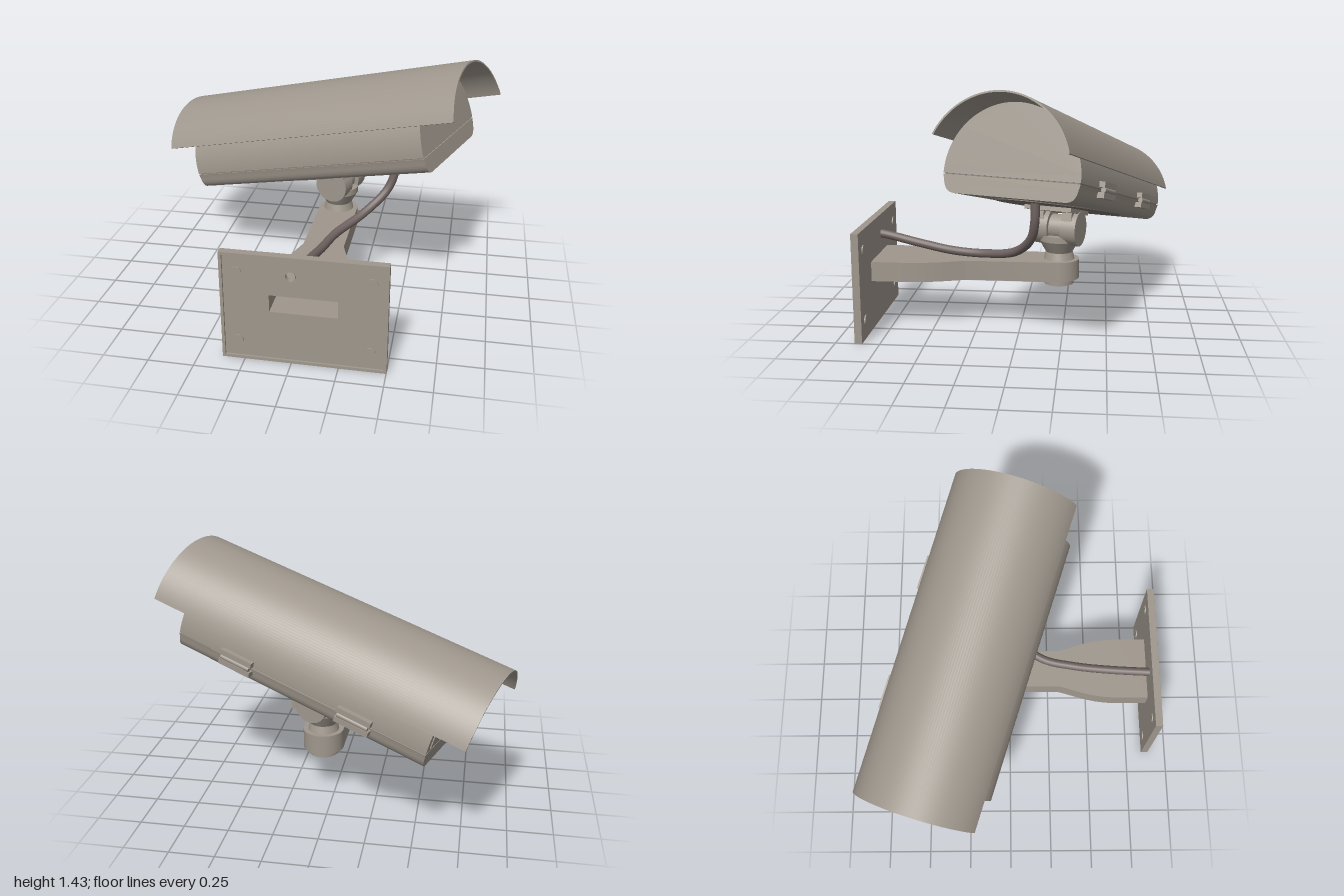
import * as THREE from 'three';
import { toCreasedNormals } from 'three/addons/utils/BufferGeometryUtils.js';

export function createModel() {
  const paint = new THREE.MeshStandardMaterial({ color: 0x9f978d });
  paint.name = 'warm grey paint';
  const dark = new THREE.MeshStandardMaterial({ color: 0x7d756f });
  dark.name = 'dark grey panel';
  const rubber = new THREE.MeshStandardMaterial({ color: 0x6f6360 });
  rubber.name = 'cable rubber';

  const model = new THREE.Group();
  model.name = 'securityCamera';

  function add(parent, name, geometry, material, x = 0, y = 0, z = 0) {
    const mesh = new THREE.Mesh(geometry, material);
    mesh.name = name;
    mesh.position.set(x, y, z);
    parent.add(mesh);
    return mesh;
  }
  const extrude = (shape, depth) => toCreasedNormals(
    new THREE.ExtrudeGeometry(shape, { depth, bevelEnabled: false, curveSegments: 32 }), 0.5);
  // extrusion running along x, from x0 to x1
  const alongX = (shape, x0, x1) => extrude(shape, x1 - x0).rotateY(Math.PI / 2).translate(x0, 0, 0);
  // plan shape (x, z) extruded upwards from y0 to y1
  const plan = (shape, y0, y1) => extrude(shape, y1 - y0).rotateX(Math.PI / 2).translate(0, y1, 0);
  function rectPath(path, x0, y0, x1, y1) {
    path.moveTo(x0, y0);
    path.lineTo(x1, y0);
    path.lineTo(x1, y1);
    path.lineTo(x0, y1);
    path.closePath();
    return path;
  }
  const circlePath = (x, y, r) => new THREE.Path().absarc(x, y, r, 0, Math.PI * 2);

  // ---- Housing, turned and pitched as one group ----
  const housing = new THREE.Group();
  housing.name = 'housing';
  housing.rotation.set(0, -0.32, 0.262, 'YXZ');
  housing.position.set(0.072, 0, -0.218);
  model.add(housing);

  const X0 = -0.61, X1 = 0.92, R = 0.374, MID = 0.787;

  // lower tray with rounded bottom edges
  const trayShape = (inset) => {
    const w = R - inset, b = 0.68 + inset;
    const s = new THREE.Shape();
    s.moveTo(-w, 0.775);
    s.lineTo(-w + 0.008, 0.745);
    s.quadraticCurveTo(-w + 0.018, b, -w + 0.075, b);
    s.lineTo(w - 0.075, b);
    s.quadraticCurveTo(w - 0.018, b, w - 0.008, 0.745);
    s.lineTo(w, 0.775);
    s.closePath();
    return s;
  };
  add(housing, 'tray', alongX(trayShape(0), X0, X1), paint);

  // domed lid
  const dome = (r) => {
    const s = new THREE.Shape();
    s.moveTo(-r, 0.781);
    s.lineTo(r, 0.781);
    s.absarc(0, MID, r, 0, Math.PI);
    s.closePath();
    return s;
  };
  add(housing, 'lid', alongX(dome(R), X0, X1), paint);

  // recessed seal in the seam between tray and lid
  add(housing, 'seal', new THREE.BoxGeometry(X1 - X0 - 0.016, 0.02, 2 * R - 0.016), dark, (X0 + X1) / 2, 0.778, 0);

  // inset cover on the low end
  const cover = new THREE.Shape();
  cover.moveTo(-0.335, 0.8);
  cover.lineTo(0.335, 0.8);
  cover.absarc(0, 0.8, 0.335, 0, Math.PI);
  add(housing, 'endCover', alongX(cover, X0 - 0.006, X0), paint);

  // sun shield: thin arc, reaching lower on the hinge side
  const arc = new THREE.Shape();
  const a0 = 16 * Math.PI / 180, a1 = 155.6 * Math.PI / 180;
  arc.absarc(0, 0.793, 0.39, a0, a1);
  arc.absarc(0, 0.793, 0.381, a1, a0, true);
  arc.closePath();
  add(housing, 'sunShield', alongX(arc, -0.79, 1.118), paint);

  // oval panel underneath
  const oval = new THREE.Shape().absellipse(0, 0, 0.63, 0.31, 0, Math.PI * 2);
  add(housing, 'undersidePanel', plan(oval, 0.676, 0.681), dark, 0.155, 0, 0);

  // hinge clasps along the seam
  for (const x of [-0.2, 0.53]) {
    const clasp = new THREE.Group();
    clasp.name = 'clasp';
    clasp.position.set(x, 0.775, -R);
    housing.add(clasp);
    add(clasp, 'claspPlate', new THREE.BoxGeometry(0.2, 0.03, 0.05), paint, 0, 0.028, -0.005);
    add(clasp, 'claspBase', new THREE.BoxGeometry(0.2, 0.03, 0.05), paint, 0, -0.028, -0.005);
    add(clasp, 'claspPin', new THREE.CylinderGeometry(0.014, 0.014, 0.18, 16).rotateZ(Math.PI / 2), paint, 0, 0, -0.02);
  }

  // mounting plate and its lugs
  add(housing, 'mountingPlate', new THREE.BoxGeometry(0.3, 0.026, 0.28), paint, 0.185, 0.664, 0.012);
  for (const z of [-0.075, 0.095])
    add(housing, 'tiltLug', new THREE.BoxGeometry(0.13, 0.09, 0.06), paint, 0.185, 0.62, z);

  // ---- Pan and tilt joint ----
  const JX = 0.065, JZ = -0.22;
  const joint = new THREE.Group();
  joint.name = 'joint';
  joint.position.set(JX, 0, JZ);
  model.add(joint);
  const barrel = new THREE.Group();
  barrel.name = 'tiltBarrel';
  barrel.position.set(0.012, 0.588, 0);
  barrel.rotation.y = -0.32;
  joint.add(barrel);
  for (const [z, len, r] of [[-0.085, 0.09, 0.1], [0, 0.08, 0.075], [0.085, 0.09, 0.1]])
    add(barrel, 'barrelSection', new THREE.CylinderGeometry(r, r, len, 40).rotateX(Math.PI / 2), paint, 0, 0, z);
  const neck = [[0, 0.4], [0.09, 0.4], [0.078, 0.445], [0.118, 0.515], [0.118, 0.55], [0, 0.55]]
    .map(([r, y]) => new THREE.Vector2(r, y));
  add(joint, 'neck', toCreasedNormals(new THREE.LatheGeometry(neck, 40), 0.5), paint);
  add(joint, 'panCap', new THREE.CylinderGeometry(0.086, 0.086, 0.045, 40), paint, 0, 0.276, 0);

  // ---- Hollow arm: side walls between a floor and a roof ----
  const armOutline = (path, inset, back) => {
    const n = 0.116 - inset, w = 0.192 - inset;
    path.moveTo(JX - w, back);
    path.lineTo(JX - w, 0.68);
    path.bezierCurveTo(JX - w, 0.5, JX - n - 0.025, 0.4, JX - n, 0.3);
    path.lineTo(JX - n, JZ);
    path.absarc(JX, JZ, n, Math.PI, Math.PI * 2);
    path.lineTo(JX + n, 0.3);
    path.bezierCurveTo(JX + n + 0.025, 0.4, JX + w, 0.5, JX + w, 0.68);
    path.lineTo(JX + w, back);
    return path;
  };
  const armSolid = armOutline(new THREE.Shape(), 0, 0.855);
  const inner = armOutline(new THREE.Path(), 0.012, 0.855).getPoints(24).reverse();
  const armWalls = armOutline(new THREE.Shape(), 0, 0.855);
  inner.forEach((p) => armWalls.lineTo(p.x, p.y));
  armWalls.closePath();
  add(model, 'armFloor', plan(armSolid, 0.288, 0.296), paint);
  add(model, 'armWalls', plan(armWalls, 0.296, 0.394), paint);
  add(model, 'armRoof', plan(armSolid, 0.394, 0.402), paint);
  add(model, 'panShaft', new THREE.CylinderGeometry(0.08, 0.08, 0.1, 40), paint, JX, 0.345, JZ);

  // ---- Wall plate with arm opening, cable hole and shallow rim ----
  const P = [-0.372, 0, 0.502, 0.627];
  const plate = rectPath(new THREE.Shape(), ...P);
  plate.holes.push(rectPath(new THREE.Path(), JX - 0.18, 0.296, JX + 0.18, 0.394), circlePath(0, 0.512, 0.027));
  add(model, 'wallPlate', extrude(plate, 0.03), paint, 0, 0, 0.848);
  const rim = rectPath(new THREE.Shape(), ...P);
  rim.holes.push(rectPath(new THREE.Path(), P[0] + 0.016, 0.016, P[2] - 0.016, P[3] - 0.016));
  add(model, 'plateRim', extrude(rim, 0.012), paint, 0, 0, 0.878);
  for (const x of [-0.285, 0.415]) for (const y of [0.11, 0.515])
    add(model, 'screw', new THREE.CylinderGeometry(0.03, 0.03, 0.044, 24).rotateX(Math.PI / 2), paint, x, y, 0.863);

  // ---- Cable from plate to housing ----
  const path = new THREE.CatmullRomCurve3([
    [0, 0.512, 0.875], [0.005, 0.505, 0.82], [0.035, 0.462, 0.6], [0.07, 0.432, 0.4], [0.12, 0.432, 0.2],
    [0.25, 0.482, 0.02], [0.37, 0.59, -0.08], [0.413, 0.69, -0.103], [0.42, 0.83, -0.106],
  ].map((p) => new THREE.Vector3(...p)));
  add(model, 'cable', new THREE.TubeGeometry(path, 80, 0.025, 16), rubber);

  return model;
}
